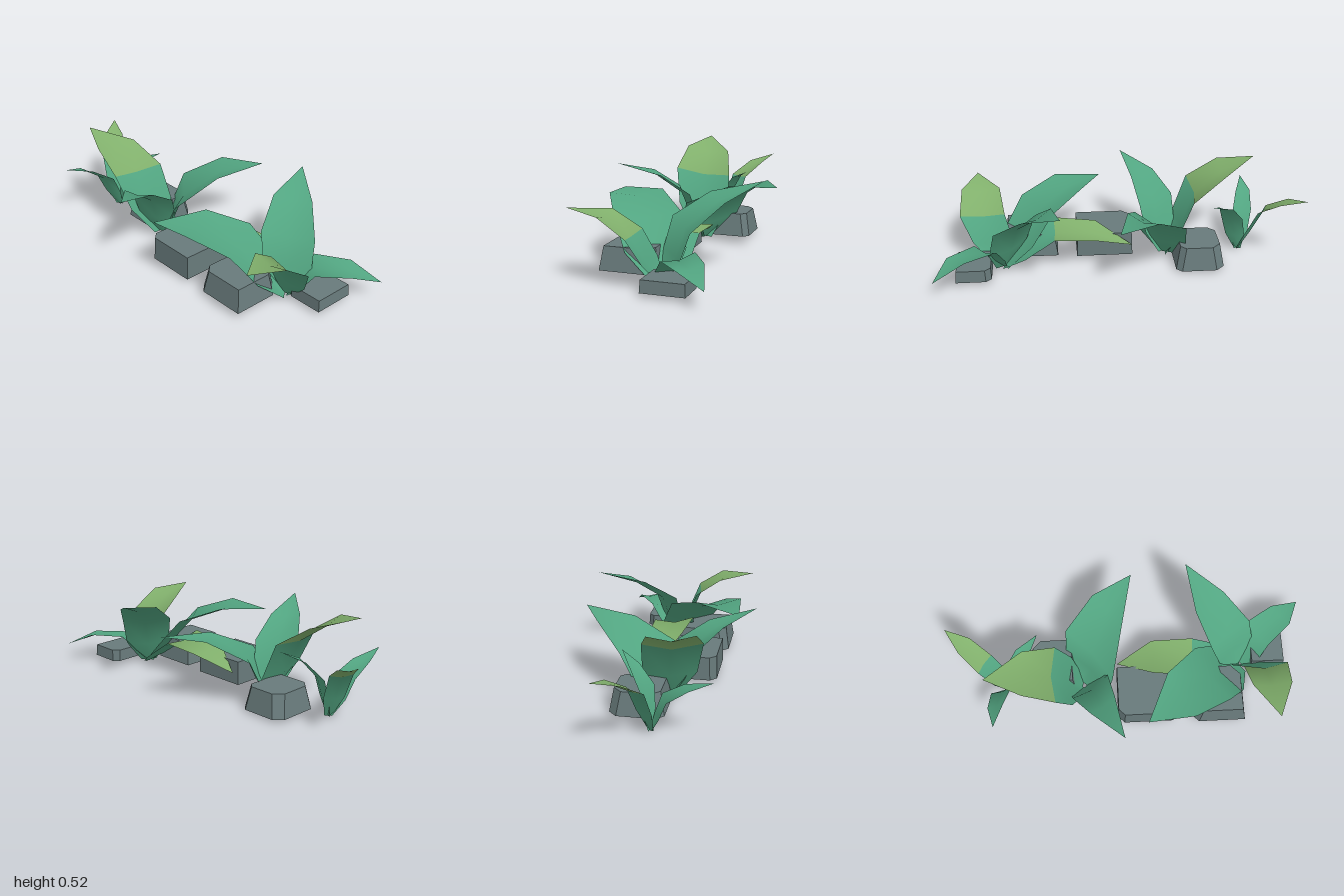
import * as THREE from 'three';
import { ConvexGeometry } from 'three/addons/geometries/ConvexGeometry.js';

const mat = (name, color, side = THREE.FrontSide) => {
  const m = new THREE.MeshStandardMaterial({ color, side });
  m.name = name;
  return m;
};
const V = (a) => new THREE.Vector3(...a);

// A gutter-shaped leaf with rings at root, stalk, mid and upper, closed by a tip.
// side is the mid half-width as a vector; ratio narrows the upper ring.
function leafGeometry(root, { mid, side, upper, ratio, tip }) {
  const half = V(side);
  const centres = [V(root), V(root).lerp(V(mid), 0.45), V(mid), V(upper), V(tip)];
  const facing = half.clone().cross(centres[4].clone().sub(centres[0])).y > 0 ? 1 : -1;
  half.multiplyScalar(facing);
  const positions = [], index = [];
  [0.33, 0.9, 1, ratio].forEach((k, i) => {
    const along = centres[i + 1].clone().sub(centres[Math.max(i - 1, 0)]);
    const normal = half.clone().cross(along).normalize();
    const rib = centres[i].clone().addScaledVector(normal, -0.2 * k * half.length());
    const left = centres[i].clone().addScaledVector(half, -k);
    const right = centres[i].clone().addScaledVector(half, k);
    for (const p of [left, rib, right]) positions.push(p.x, Math.max(p.y, 0), p.z);
  });
  positions.push(...tip);
  for (let i = 0; i < 3; i++) {
    for (let j = 0; j < 2; j++) {
      const a = i * 3 + j;
      index.push(a, a + 1, a + 4, a, a + 4, a + 3);
    }
  }
  index.push(9, 10, 12, 10, 11, 12);
  const g = new THREE.BufferGeometry();
  g.setAttribute('position', new THREE.Float32BufferAttribute(positions, 3));
  g.setIndex(index);
  g.addGroup(0, 24, 0); // lower half
  g.addGroup(24, 18, 1); // outer half
  g.computeVertexNormals();
  return g;
}

// A tapered block; each cut is [sign of x, sign of z, size] of a bevelled corner.
function rockGeometry([x0, x1], [y0, y1], [z0, z1], inset, cuts) {
  const points = [];
  for (const [y, d] of [[y0, 0], [y1, inset]]) {
    for (const sx of [-1, 1]) for (const sz of [-1, 1]) {
      const x = sx < 0 ? x0 + d : x1 - d;
      const z = sz < 0 ? z0 + d : z1 - d;
      const cut = cuts.find(([cx, cz]) => cx === sx && cz === sz);
      if (cut) {
        points.push(new THREE.Vector3(x - sx * cut[2], y, z), new THREE.Vector3(x, y, z - sz * cut[2]));
      } else points.push(new THREE.Vector3(x, y, z));
    }
  }
  return new ConvexGeometry(points);
}

export function createModel() {
  const green = mat('leaf green', 0x52a581, THREE.DoubleSide);
  const pale = mat('pale leaf green', 0x81b06c, THREE.DoubleSide);
  const grey = mat('rock grey', 0x687a7b);
  const model = new THREE.Group();
  model.name = 'plantsAndRocks';

  const addPlant = (name, root, leaves) => {
    const group = new THREE.Group();
    group.name = name;
    leaves.forEach((leaf, i) => {
      const mesh = new THREE.Mesh(leafGeometry(root, leaf), [green, leaf.end]);
      mesh.name = `leaf${i + 1}`;
      group.add(mesh);
    });
    model.add(group);
  };
  const addRock = (name, ...shape) => {
    const mesh = new THREE.Mesh(rockGeometry(...shape), grey);
    mesh.name = name;
    model.add(mesh);
  };

  // Plants
  addPlant('frontPlant', [0.055, 0.008, 0.645], [
    { mid: [-0.1, 0.295, 0.45], side: [0.15, 0.006, -0.085], upper: [-0.235, 0.37, 0.27], ratio: 0.82, tip: [-0.375, 0.348, 0.085], end: green },
    { mid: [0.125, 0.285, 0.57], side: [0.085, -0.015, 0.112], upper: [0.275, 0.408, 0.455], ratio: 0.73, tip: [0.478, 0.478, 0.33], end: green },
    { mid: [-0.05, 0.265, 0.75], side: [0.005, 0, 0.122], upper: [-0.195, 0.36, 0.76], ratio: 0.86, tip: [-0.385, 0.377, 0.785], end: pale },
    { mid: [0.165, 0.168, 0.73], side: [-0.066, -0.012, 0.062], upper: [0.28, 0.168, 0.88], ratio: 0.8, tip: [0.386, 0.098, 0.995], end: green },
    { mid: [0.035, 0.208, 0.36], side: [-0.115, 0.015, 0], upper: [0.05, 0.197, 0.13], ratio: 0.87, tip: [0.05, 0.1, -0.07], end: pale },
  ]);
  addPlant('middlePlant', [-0.04, 0.012, -0.26], [
    { mid: [0.058, 0.25, -0.222], side: [-0.143, -0.015, 0.125], upper: [0.272, 0.37, -0.11], ratio: 0.62, tip: [0.473, 0.383, 0.03], end: green },
    { mid: [-0.138, 0.285, -0.22], side: [0.065, -0.005, 0.097], upper: [-0.28, 0.39, -0.155], ratio: 0.68, tip: [-0.482, 0.45, -0.045], end: green },
    { mid: [-0.088, 0.362, -0.405], side: [0.162, -0.014, 0], upper: [-0.112, 0.473, -0.575], ratio: 0.78, tip: [-0.155, 0.523, -0.77], end: pale },
  ]);
  addPlant('backPlant', [-0.03, 0.012, -0.68], [
    { mid: [0.022, 0.275, -0.795], side: [0.052, 0, 0.035], upper: [0.105, 0.353, -0.897], ratio: 0.85, tip: [0.19, 0.39, -1], end: pale },
    { mid: [-0.105, 0.205, -0.712], side: [0.02, 0, 0.058], upper: [-0.218, 0.28, -0.735], ratio: 0.76, tip: [-0.352, 0.32, -0.745], end: green },
    { mid: [-0.005, 0.215, -0.635], side: [-0.025, 0, 0.055], upper: [0.068, 0.31, -0.585], ratio: 0.65, tip: [0.15, 0.355, -0.5], end: green },
  ]);

  // Rocks
  addRock('frontRock', [0.03, 0.26], [0.022, 0.087], [0.7, 0.89], 0.004, [[1, -1, 0.03]]);
  addRock('leftRock', [-0.29, 0.01], [0.03, 0.155], [0.34, 0.64], 0.02, [[-1, -1, 0.04], [1, 1, 0.05]]);
  addRock('middleRock', [-0.275, 0.015], [0.023, 0.155], [-0.075, 0.235], 0.004, [[-1, -1, 0.035]]);
  addRock('backRock', [-0.07, 0.22], [0.012, 0.14], [-0.565, -0.3], 0.023, [[1, -1, 0.045], [-1, -1, 0.04], [1, 1, 0.03]]);
  return model;
}
